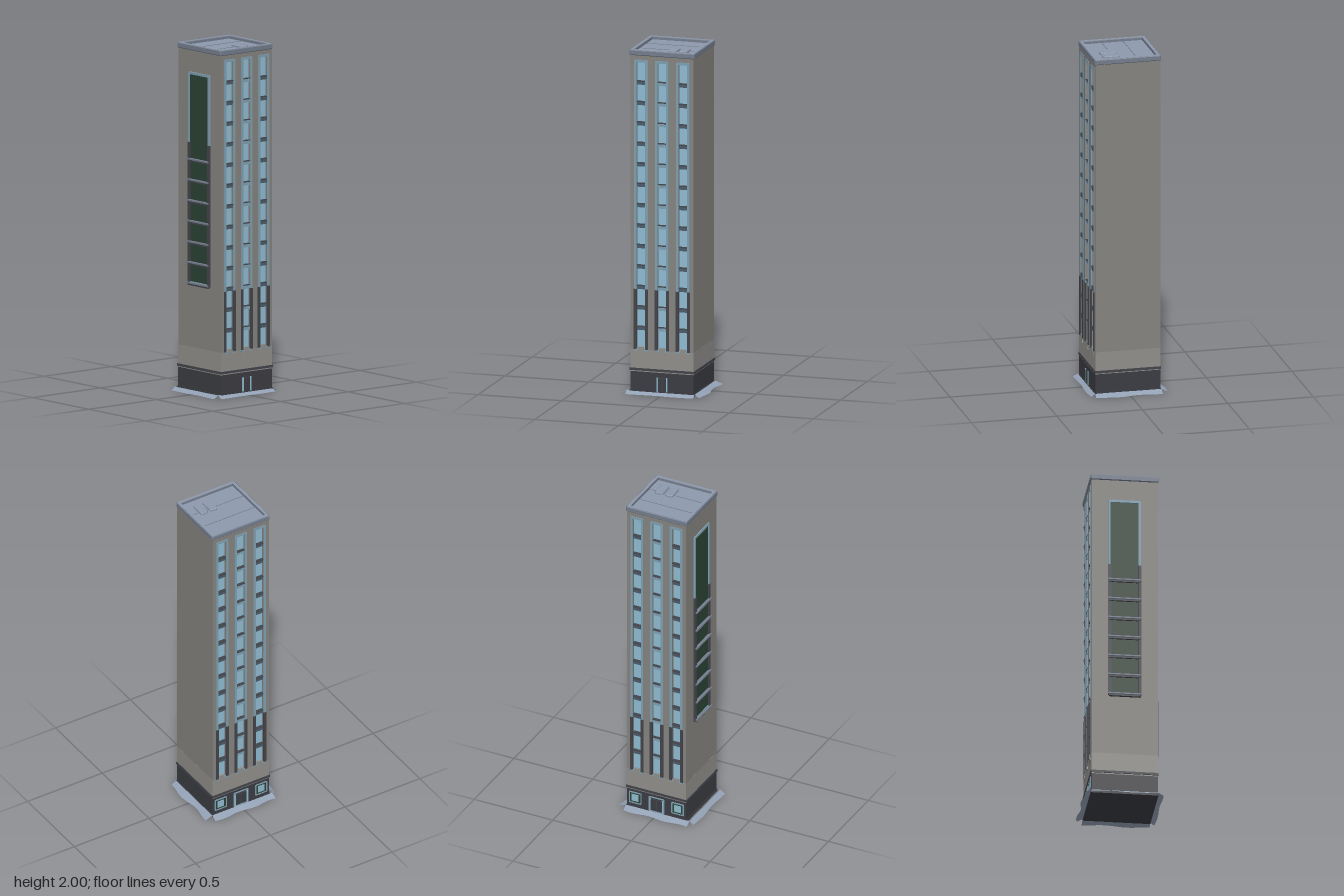
import * as THREE from 'three';

const CZ = 0.007; // tower's middle in z
const mat = (color, side = THREE.FrontSide) =>
  new THREE.MeshStandardMaterial({ color, side });
const M = {
  wall: mat(0x85837f), band: mat(0x908e8a), base: mat(0x3b3c42), roof: mat(0x8d99ad),
  rim: mat(0x747d8d), frame: mat(0x7f9fb0), glass: mat(0x8fbcd2), dark: mat(0x42444b),
  sill: mat(0x4c5c69), green: mat(0x2b4234), ground: mat(0x93a1b5, THREE.DoubleSide),
};

function add(parent, name, geo, material, x = 0, y = 0, z = 0) {
  const m = new THREE.Mesh(geo, material);
  m.name = name;
  m.position.set(x, y, z);
  parent.add(m);
  return m;
}

// box given by its limits
function block(parent, name, material, x0, x1, y0, y1, z0, z1) {
  return add(parent, name, new THREE.BoxGeometry(x1 - x0, y1 - y0, z1 - z0), material,
    (x0 + x1) / 2, (y0 + y1) / 2, (z0 + z1) / 2);
}

// rectangle outline with cut corners of size c
function rect(x0, x1, y0, y1, c = 0, Type = THREE.Shape) {
  const pts = c
    ? [[x0 + c, y0], [x1 - c, y0], [x1, y0 + c], [x1, y1 - c], [x1 - c, y1], [x0 + c, y1], [x0, y1 - c], [x0, y0 + c]]
    : [[x0, y0], [x1, y0], [x1, y1], [x0, y1]];
  return new Type(pts.map(p => new THREE.Vector2(...p)));
}
const extrude = (shape, depth, bevel = 0) => new THREE.ExtrudeGeometry(shape, {
  depth: depth - bevel, bevelEnabled: bevel > 0, bevelSize: bevel, bevelOffset: -bevel,
  bevelThickness: bevel, bevelSegments: 1,
});

// rectangular ring standing on a wall that faces +z
function ring(parent, name, material, x0, x1, y0, y1, w, z, depth) {
  const s = rect(x0, x1, y0, y1, 0.004);
  s.holes.push(rect(x0 + w, x1 - w, y0 + w, y1 - w, 0, THREE.Path));
  add(parent, name, extrude(s, depth), material, 0, 0, z);
}

// wall with three tall window strips, face at z = 0
function facade() {
  const g = new THREE.Group();
  g.name = 'facade';
  const centres = [-0.125, 0, 0.125];
  const wall = rect(-0.1875, 0.1875, 0.26, 1.97);
  for (const c of centres) wall.holes.push(rect(c - 0.026, c + 0.026, 0.265, 1.93, 0, THREE.Path));
  add(g, 'pierWall', extrude(wall, 0.02), M.wall, 0, 0, -0.02);
  for (const c of centres) {
    block(g, 'glassStrip', M.glass, c - 0.026, c + 0.026, 0.265, 1.93, -0.02, -0.015);
    ring(g, 'stripFrame', M.frame, c - 0.041, c + 0.041, 0.25, 1.945, 0.015, -0.002, 0.005);
    for (let i = 0; i < 13; i++) {
      const y = 1.81 - i * 0.119;
      block(g, 'floorLedge', c ? M.sill : M.frame, c - 0.024, c + 0.024, y - 0.01, y + 0.008, -0.016, 0.001);
      block(g, 'floorSill', M.dark, c - 0.025, c + 0.025, y + 0.008, y + 0.012, -0.016, 0.003);
    }
    for (const s of [-1, 1]) {
      const x = c + s * 0.034;
      block(g, 'darkPilaster', M.dark, x - 0.0085, x + 0.0085, 0.26, 0.61, -0.003, 0.005);
    }
    // flared foot under the strip
    const foot = new THREE.Shape([[-0.024, 0.23], [0.024, 0.23], [0.013, 0.275], [-0.013, 0.275]]
      .map(p => new THREE.Vector2(c + p[0], p[1])));
    add(g, 'stripFoot', extrude(foot, 0.012), M.band, 0, 0, -0.008);
  }
  return g;
}

// door on a ground floor wall, face at z = 0
function door(g, half) {
  block(g, 'doorPanel', M.dark, -half, half, 0.02, 0.1, -0.002, 0.002);
  for (const s of [-1, 1]) {
    block(g, 'doorPost', M.glass, s * half - 0.004, s * half + 0.004, 0.02, 0.102, -0.002, 0.005);
    block(g, 'doorLeaf', M.base, s * half / 2 - half * 0.4, s * half / 2 + half * 0.4, 0.022, 0.095, 0, 0.003);
  }
}

// wavy sloping strip of pavement; at(t, 0) is the inner edge, at(t, 1) the outer
function pavement(parent, at) {
  const pos = [], idx = [], n = 28;
  for (let i = 0; i <= n; i++) {
    pos.push(...at(i / n, 0), ...at(i / n, 1));
    if (i < n) idx.push(2 * i, 2 * i + 1, 2 * i + 2, 2 * i + 1, 2 * i + 3, 2 * i + 2);
  }
  const geo = new THREE.BufferGeometry();
  geo.setAttribute('position', new THREE.Float32BufferAttribute(pos, 3));
  geo.setIndex(idx);
  geo.computeVertexNormals();
  add(parent, 'pavementSkirt', geo, M.ground);
}

export function createModel() {
  const model = new THREE.Group();
  model.name = 'tower';

  // shaft and lower storeys
  block(model, 'shaft', M.wall, -0.1875, 0.1875, 0.26, 1.97, CZ - 0.17, CZ + 0.17);
  block(model, 'lowerBand', M.band, -0.188, 0.188, 0.13, 0.26, CZ - 0.19, CZ + 0.19);
  block(model, 'groundFloor', M.base, -0.188, 0.188, 0.008, 0.13, CZ - 0.19, CZ + 0.19);
  block(model, 'plinth', M.base, -0.193, 0.193, 0.008, 0.02, CZ - 0.193, CZ + 0.193);
  block(model, 'stringCourse', M.dark, -0.193, 0.193, 0.136, 0.15, CZ - 0.193, CZ + 0.193);

  // front and back facades
  const front = facade(), back = facade();
  front.position.z = CZ + 0.19;
  back.position.z = CZ - 0.19;
  back.rotation.y = Math.PI;
  model.add(front, back);

  // entrances, with shop windows at the back
  door(front, 0.028);
  door(back, 0.04);
  ring(back, 'entranceFrame', M.frame, -0.05, 0.05, 0.018, 0.115, 0.007, -0.001, 0.005);
  for (const s of [-1, 1]) {
    const x = s * 0.135;
    block(back, 'shopGlass', M.green, x - 0.035, x + 0.035, 0.045, 0.11, -0.002, 0.002);
    block(back, 'shopPane', M.glass, x - 0.022, x + 0.022, 0.055, 0.1, -0.001, 0.003);
    ring(back, 'shopFrame', M.frame, x - 0.04, x + 0.04, 0.04, 0.115, 0.007, -0.001, 0.005);
  }

  // tall green panel on the -x side, built facing +z and turned
  const panel = new THREE.Group();
  panel.name = 'sidePanel';
  panel.position.set(-0.1875, 0, CZ);
  panel.rotation.y = -Math.PI / 2;
  model.add(panel);
  block(panel, 'greenPanel', M.green, -0.088, 0.088, 0.63, 1.83, -0.002, 0.004);
  ring(panel, 'panelFrame', M.frame, -0.094, 0.094, 0.625, 1.845, 0.014, -0.001, 0.009);
  for (const s of [-1, 1]) {
    block(panel, 'panelPost', M.dark, s * 0.086 - 0.009, s * 0.086 + 0.009, 0.625, 1.44, 0, 0.012);
  }
  for (let i = 0; i < 7; i++) {
    const y = 1.345 - i * 0.119;
    block(panel, 'panelLedge', M.rim, -0.094, 0.094, y - 0.004, y + 0.004, 0, 0.022);
    block(panel, 'panelLedgeUnderside', M.dark, -0.09, 0.09, y - 0.014, y - 0.004, 0, 0.015);
  }

  // parapet and recessed roof
  const rim = rect(-0.194, 0.194, -0.194, 0.194, 0.005);
  rim.holes.push(rect(-0.173, 0.173, -0.173, 0.173, 0, THREE.Path));
  const rimGeo = extrude(rim, 0.027, 0.004).rotateX(-Math.PI / 2);
  add(model, 'parapet', rimGeo, M.rim, 0, 1.973, CZ);
  const cap = rect(-0.189, 0.189, -0.189, 0.189, 0.004);
  cap.holes.push(rect(-0.174, 0.174, -0.174, 0.174, 0, THREE.Path));
  add(model, 'parapetCap', extrude(cap, 0.001).rotateX(-Math.PI / 2), M.roof, 0, 1.9995, CZ);
  block(model, 'roofDeck', M.roof, -0.175, 0.175, 1.96, 1.982, CZ - 0.175, CZ + 0.175);
  for (const z of [-0.056, 0.068]) {
    block(model, 'roofSeam', M.rim, -0.173, 0.173, 1.98, 1.984, z - 0.0015, z + 0.0015);
  }
  for (const x of [0.0385, 0.101]) {
    const box = extrude(rect(-0.024, 0.024, -0.048, 0.048, 0.009), 0.014, 0.003);
    add(model, 'roofUnit', box.rotateX(-Math.PI / 2), M.roof, x, 1.981, 0.085);
  }

  // pavement around the foot
  const mix = THREE.MathUtils.lerp;
  const edge = (inner, outer, amp, waves, phase) => (t, k) =>
    mix(inner, outer + amp * Math.sin(t * waves * Math.PI * 2 + phase), k);
  const f = edge(0.195, 0.226, 0.003, 1.5, 1), b = edge(-0.184, -0.223, 0.006, 2, 2.9);
  const l = edge(-0.21, -0.239, 0.004, 1.5, 2), r = edge(0.19, 0.231, 0.008, 1.5, 4.7);
  const y = k => 0.018 * (1 - k);
  pavement(model, (t, k) => [mix(-0.21, 0.193, t), y(k), f(t, k)]);
  pavement(model, (t, k) => [mix(0.193, -0.21, t), y(k), b(t, k)]);
  pavement(model, (t, k) => [l(t, k), y(k), mix(-0.187, 0.2, t)]);
  pavement(model, (t, k) => [r(t, k), y(k), mix(0.2, -0.187, t)]);

  return model;
}
